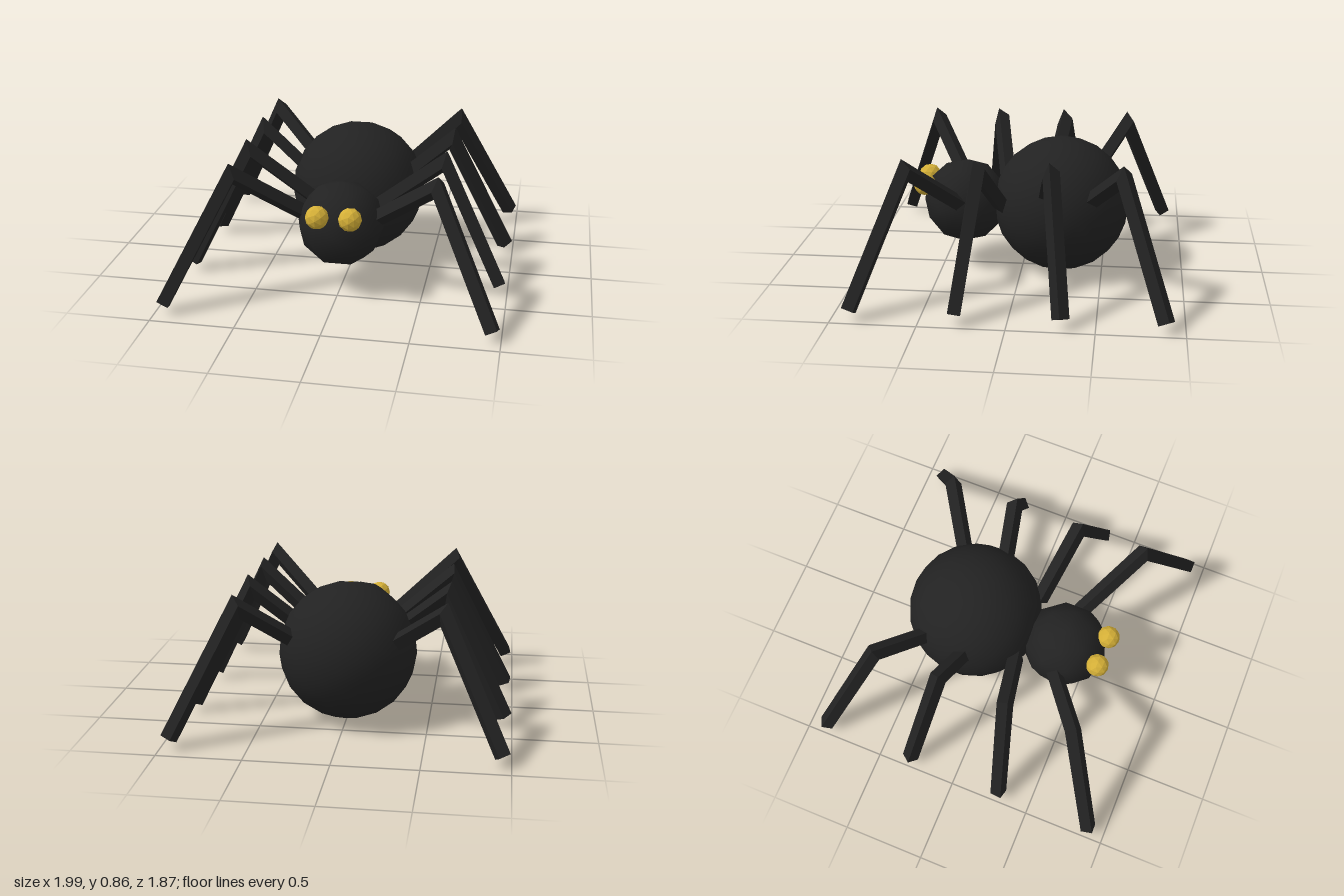
import * as THREE from 'three';

const bodyBlack = new THREE.MeshStandardMaterial({ color: 0x222222 });
bodyBlack.name = 'bodyBlack';
const eyeGold = new THREE.MeshStandardMaterial({ color: 0xd4af37 });
eyeGold.name = 'eyeGold';

const THICKNESS = 0.072;
const vec = (a) => new THREE.Vector3(...a);

// Slides a section vector along a bar direction onto the plane with the given normal
function slide(v, dir, normal) {
  return v.clone().addScaledVector(dir, -v.dot(normal) / dir.dot(normal));
}

// Square bar bent once at the knee with a mitred joint; side is 1 (left) or -1 (right)
function legGeometry(hip, knee, foot, across, side) {
  const lower = foot.clone().sub(knee).normalize();
  const upper = knee.clone().sub(hip).normalize();
  const mitre = lower.clone().add(upper);
  const w = across.clone().addScaledVector(lower, -across.dot(lower)).setLength(THICKNESS / 2);
  const h = lower.clone().cross(w).setLength(THICKNESS / 2);
  const corners = [[-1, -1], [1, -1], [1, 1], [-1, 1]].map(([a, b]) =>
    w.clone().multiplyScalar(a).addScaledVector(h, b));
  const kneeCorners = corners.map((c) => slide(c, lower, mitre));
  const hipCorners = kneeCorners.map((c) => slide(c, upper, upper));
  const rings = [[foot, corners], [knee, kneeCorners], [hip, hipCorners]].map(([centre, cs]) =>
    cs.map((c) => c.clone().add(centre)));

  const positions = [];
  const triangle = (a, b, c) => {
    for (const p of side > 0 ? [a, b, c] : [a, c, b]) positions.push(p.x * side, p.y, p.z);
  };
  const quad = (a, b, c, d) => { triangle(a, b, c); triangle(a, c, d); };
  for (let i = 0; i < 2; i++) {
    for (let j = 0; j < 4; j++) {
      const k = (j + 1) % 4;
      quad(rings[i][j], rings[i + 1][j], rings[i + 1][k], rings[i][k]);
    }
  }
  quad(...rings[0]);
  quad(...rings[2].slice().reverse());

  const geometry = new THREE.BufferGeometry();
  geometry.setAttribute('position', new THREE.Float32BufferAttribute(positions, 3));
  geometry.computeVertexNormals();
  return geometry;
}

export function createModel() {
  const model = new THREE.Group();
  model.name = 'spider';

  const add = (name, geometry, material, x = 0, y = 0, z = 0) => {
    const mesh = new THREE.Mesh(geometry, material);
    mesh.name = name;
    mesh.position.set(x, y, z);
    model.add(mesh);
  };

  // Body
  add('abdomen', new THREE.IcosahedronGeometry(0.418, 3), bodyBlack, 0, 0.42, -0.24);
  add('head', new THREE.IcosahedronGeometry(0.26, 1), bodyBlack, 0, 0.42, 0.36);

  // Hip, knee and foot depth, and the direction across the bar, for each pair
  const legs = [
    { name: 'frontLeg', z: [0.36, 0.62, 0.895], across: [-0.01, 0.02, 0.07] },
    { name: 'midFrontLeg', z: [0.11, 0.2, 0.295], across: [0.01, 0.014, 0.075] },
    { name: 'midBackLeg', z: [-0.15, -0.22, -0.305], across: [0.045, 0.015, 0.055] },
    { name: 'backLeg', z: [-0.37, -0.63, -0.89], across: [0.065, 0.021, 0.035] },
  ];

  for (const side of [1, -1]) {
    const suffix = side > 0 ? 'Left' : 'Right';

    // Faceted eye
    const eye = new THREE.IcosahedronGeometry(0.07, 1);
    eye.computeVertexNormals();
    add('eye' + suffix, eye, eyeGold, side * 0.097, 0.545, 0.6);

    for (const { name, z, across } of legs) {
      const geometry = legGeometry(
        vec([0.2, 0.455, z[0]]), vec([0.595, 0.785, z[1]]), vec([0.95, 0.06, z[2]]),
        vec(across), side);
      add(name + suffix, geometry, bodyBlack);
    }
  }
  return model;
}
